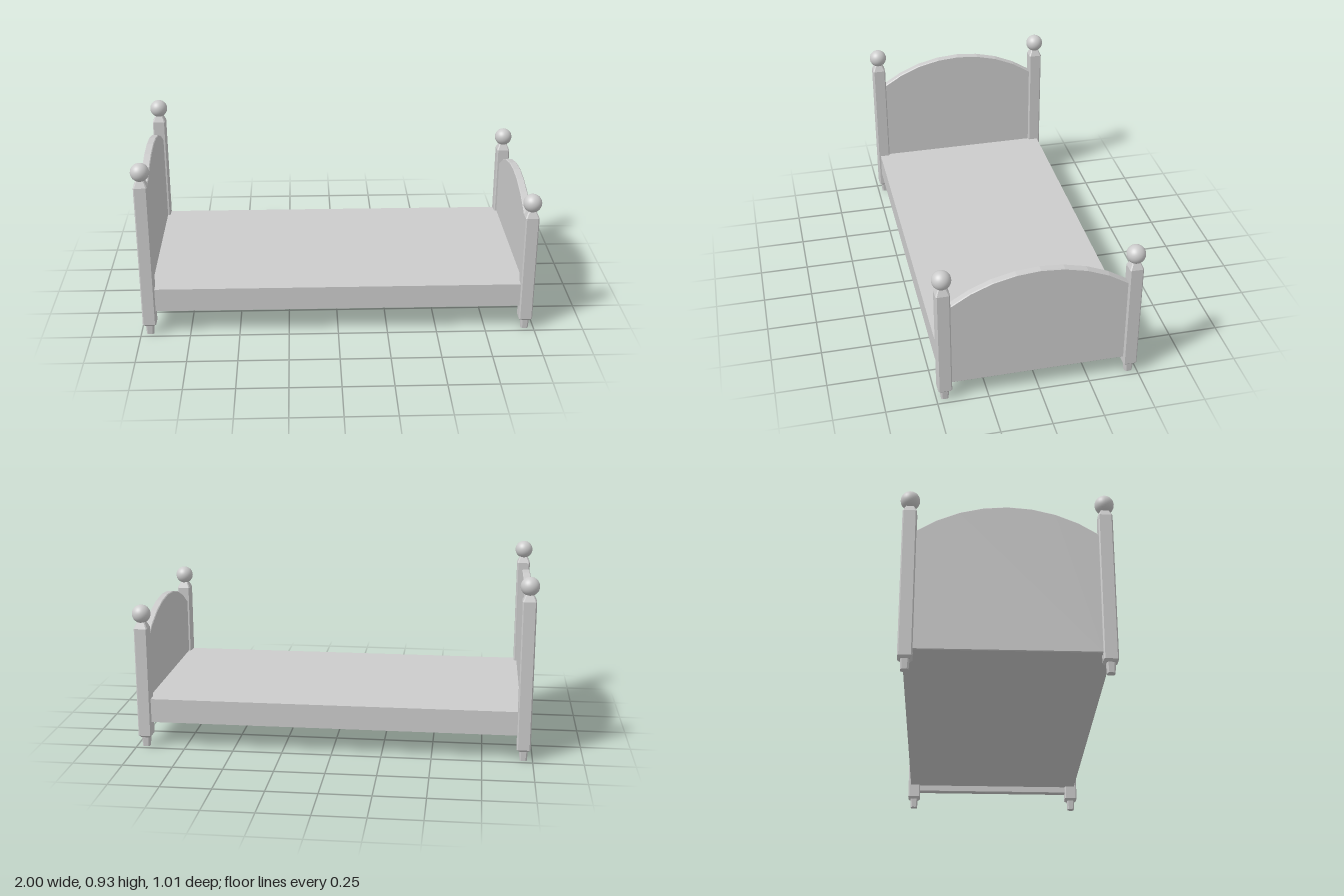
import * as THREE from 'three';

const grey = new THREE.MeshStandardMaterial({ color: 0xcccccc });
const flat = new THREE.MeshStandardMaterial({ color: 0xcccccc, flatShading: true });
const POST_X = 0.954, POST_Z = 0.459;

function add(parent, name, geometry, material) {
  const mesh = new THREE.Mesh(geometry, material);
  mesh.name = name;
  parent.add(mesh);
  return mesh;
}

// Lofts chamfered squares [y, half width, chamfer] into a capped solid
function chamferedLoft(sections) {
  const rings = sections.map(([y, h, c]) => [
    [h, h - c], [h - c, h], [c - h, h], [-h, h - c],
    [-h, c - h], [c - h, -h], [h - c, -h], [h, c - h],
  ].map(([x, z]) => [x, y, z]));
  const pos = [];
  const tri = (a, b, c) => pos.push(...a, ...b, ...c);
  for (let r = 0; r < rings.length - 1; r++) {
    for (let i = 0; i < 8; i++) {
      const j = (i + 1) % 8, lo = rings[r], hi = rings[r + 1];
      tri(lo[i], hi[i], hi[j]);
      tri(lo[i], hi[j], lo[j]);
    }
  }
  const bottom = rings[0], top = rings[rings.length - 1];
  for (let i = 1; i < 7; i++) {
    tri(bottom[0], bottom[i], bottom[i + 1]);
    tri(top[0], top[i + 1], top[i]);
  }
  const geo = new THREE.BufferGeometry();
  geo.setAttribute('position', new THREE.Float32BufferAttribute(pos, 3));
  geo.computeVertexNormals();
  return geo;
}

// Square post with a small foot, tapered neck and ball finial
function makePost(name, shoulderY) {
  const post = new THREE.Group();
  post.name = name;
  add(post, 'foot', chamferedLoft([[0, 0.018, 0.007], [0.052, 0.021, 0.007]]), flat);
  add(post, 'shaft', chamferedLoft([
    [0.05, 0.024, 0.005], [0.061, 0.034, 0.006],
    [shoulderY, 0.034, 0.006], [shoulderY + 0.04, 0.016, 0.004],
  ]), flat);
  add(post, 'ballFinial', new THREE.SphereGeometry(0.046, 32, 20), grey)
    .position.y = shoulderY + 0.071;
  return post;
}

// Board with a faceted arched top and a thin bevelled edge
function makePanel(edgeY, peakY) {
  const bevel = 0.004, half = 0.43 - bevel, bottom = 0.096 + bevel;
  const rise = peakY - edgeY;
  const radius = (half * half + rise * rise) / (2 * rise);
  const sweep = Math.asin(half / radius);
  const shape = new THREE.Shape();
  shape.moveTo(-half, bottom);
  shape.lineTo(half, bottom);
  for (let i = 0; i <= 8; i++) {
    const a = sweep * (1 - i / 4);
    shape.lineTo(radius * Math.sin(a), peakY - bevel - radius * (1 - Math.cos(a)));
  }
  shape.closePath();
  const depth = 0.03;
  const geo = new THREE.ExtrudeGeometry(shape, {
    depth, bevelEnabled: true, bevelSize: bevel, bevelThickness: bevel, bevelSegments: 1,
  });
  geo.translate(0, 0, -depth / 2);
  geo.rotateY(Math.PI / 2);
  return geo;
}

export function createModel() {
  const bed = new THREE.Group();
  bed.name = 'bed';

  // Tall head end at -x, lower foot end at +x
  const ends = [
    { name: 'head', x: -POST_X, shoulderY: 0.81, edgeY: 0.71, peakY: 0.849 },
    { name: 'foot', x: POST_X, shoulderY: 0.622, edgeY: 0.547, peakY: 0.686 },
  ];
  for (const e of ends) {
    add(bed, e.name + 'board', makePanel(e.edgeY, e.peakY), flat).position.x = e.x;
    for (const side of [-1, 1]) {
      const post = makePost(e.name + (side > 0 ? 'FrontPost' : 'BackPost'), e.shoulderY);
      post.position.set(e.x, 0, side * POST_Z);
      bed.add(post);
    }
  }

  // Solid mattress base between the ends
  add(bed, 'bedBase', new THREE.BoxGeometry(1.89, 0.122, 0.956), flat).position.y = 0.193;
  return bed;
}
